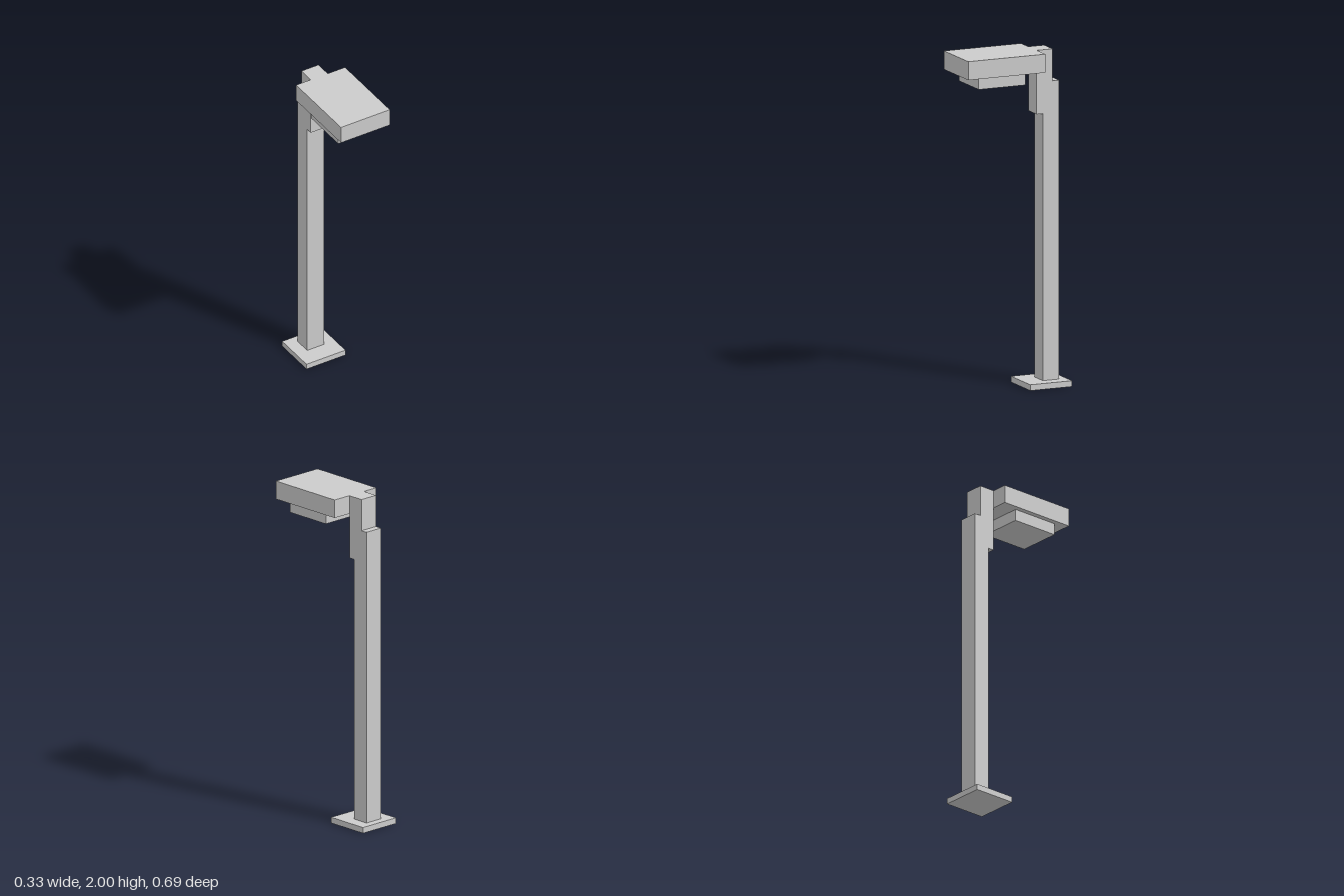
import * as THREE from 'three';

export function createModel() {
  const group = new THREE.Group();
  const material = new THREE.MeshStandardMaterial({ color: 0xcccccc, flatShading: true });

  const add = (name, geometry) => {
    const mesh = new THREE.Mesh(geometry, material);
    mesh.name = name;
    group.add(mesh);
  };

  // Box given by its extents on each axis
  const block = (name, [x0, x1], [y0, y1], [z0, z1]) => {
    const geometry = new THREE.BoxGeometry(x1 - x0, y1 - y0, z1 - z0);
    geometry.translate((x0 + x1) / 2, (y0 + y1) / 2, (z0 + z1) / 2);
    add(name, geometry);
  };

  block('basePlate', [-0.143, 0.123], [0, 0.035], [-0.343, -0.075]);

  // Post with its stepped top bracket, one side profile (z, y) extruded across x
  const profile = new THREE.Shape([
    [-0.295, 0.035], [-0.19, 0.035], [-0.19, 1.62], [-0.151, 1.62],
    [-0.151, 2], [-0.253, 2], [-0.253, 1.81], [-0.295, 1.81],
  ].map(([z, y]) => new THREE.Vector2(z, y)));
  const post = new THREE.ExtrudeGeometry(profile, { depth: 0.116, bevelEnabled: false });
  post.rotateY(-Math.PI / 2).translate(0.049, 0, 0);
  add('postAndBracket', post);

  // Lamp housing reaching forward, with the light panel beneath it
  block('lampHousing', [-0.167, 0.167], [1.89, 2], [-0.151, 0.343]);
  block('lightPanel', [-0.135, 0.132], [1.82, 1.89], [-0.04, 0.26]);

  return group;
}
